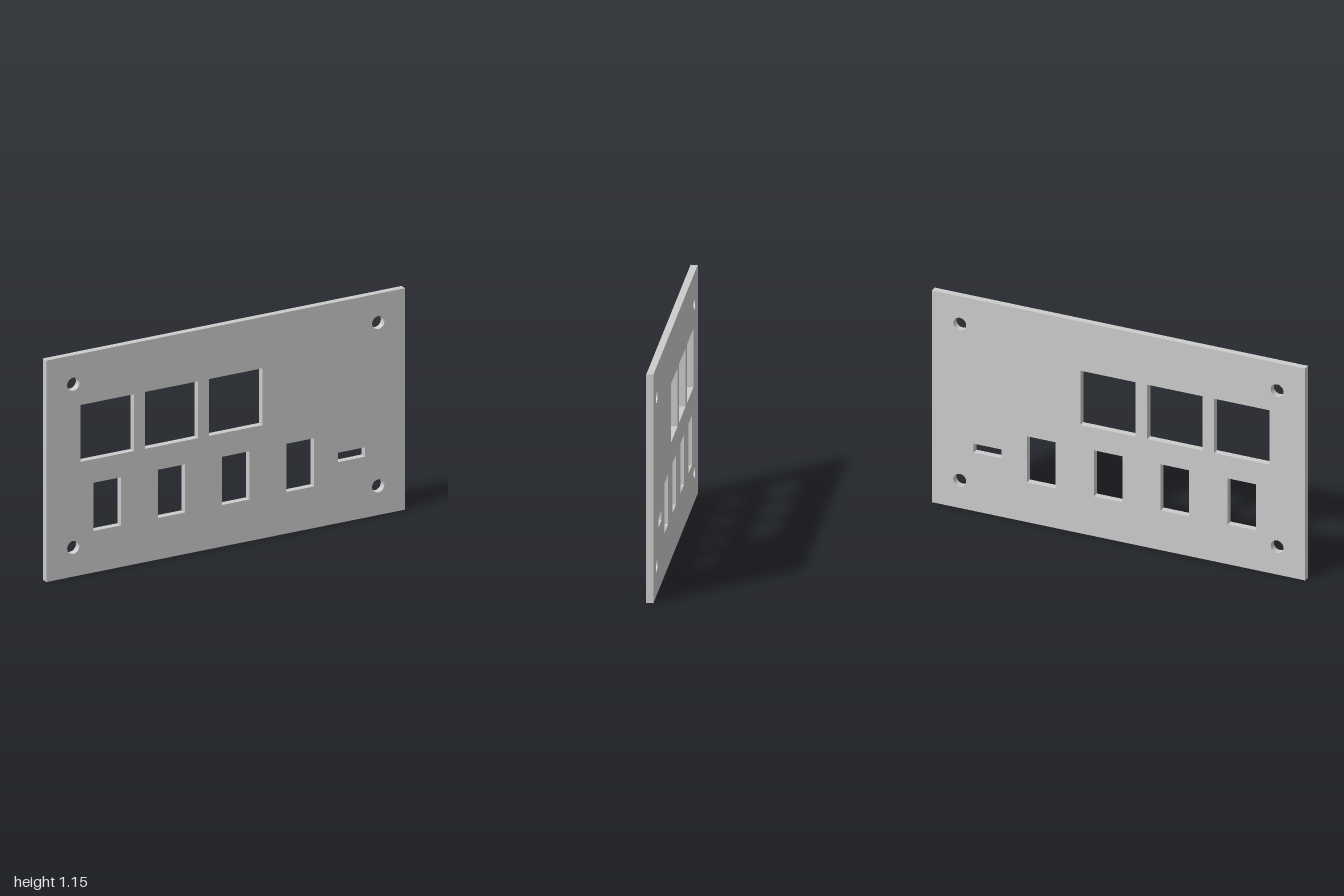
import * as THREE from 'three';

const WIDTH = 2, HEIGHT = 1.153, THICKNESS = 0.035;

// Rectangular cutout given by its centre and size
function rectHole(cx, cy, w, h) {
  const p = new THREE.Path();
  p.moveTo(cx - w / 2, cy - h / 2);
  p.lineTo(cx - w / 2, cy + h / 2);
  p.lineTo(cx + w / 2, cy + h / 2);
  p.lineTo(cx + w / 2, cy - h / 2);
  p.closePath();
  return p;
}

export function createModel() {
  const group = new THREE.Group();
  group.name = 'switchPanel';

  // Plate outline
  const plate = new THREE.Shape();
  plate.moveTo(-WIDTH / 2, 0);
  plate.lineTo(WIDTH / 2, 0);
  plate.lineTo(WIDTH / 2, HEIGHT);
  plate.lineTo(-WIDTH / 2, HEIGHT);
  plate.closePath();

  // Upper row: three square cutouts; lower row: four upright cutouts
  const firstX = -0.661, pitch = 0.3585;
  for (let i = 0; i < 3; i++) plate.holes.push(rectHole(firstX + i * pitch, 0.738, 0.297, 0.296));
  for (let i = 0; i < 4; i++) plate.holes.push(rectHole(firstX + i * pitch, 0.342, 0.153, 0.251));

  // Small slot at the end of the lower row
  plate.holes.push(rectHole(0.701, 0.342, 0.15, 0.049));

  // Corner screw holes
  for (const x of [-0.85, 0.85]) {
    for (const y of [0.152, 1.002]) {
      const hole = new THREE.Path();
      hole.absarc(x, y, 0.034, 0, Math.PI * 2, true);
      plate.holes.push(hole);
    }
  }

  const geometry = new THREE.ExtrudeGeometry(plate, { depth: THICKNESS, bevelEnabled: false, curveSegments: 32 });
  geometry.translate(0, 0, -THICKNESS / 2);
  const panel = new THREE.Mesh(geometry, new THREE.MeshStandardMaterial({ color: 0xcccccc }));
  panel.name = 'panel';
  group.add(panel);
  return group;
}
